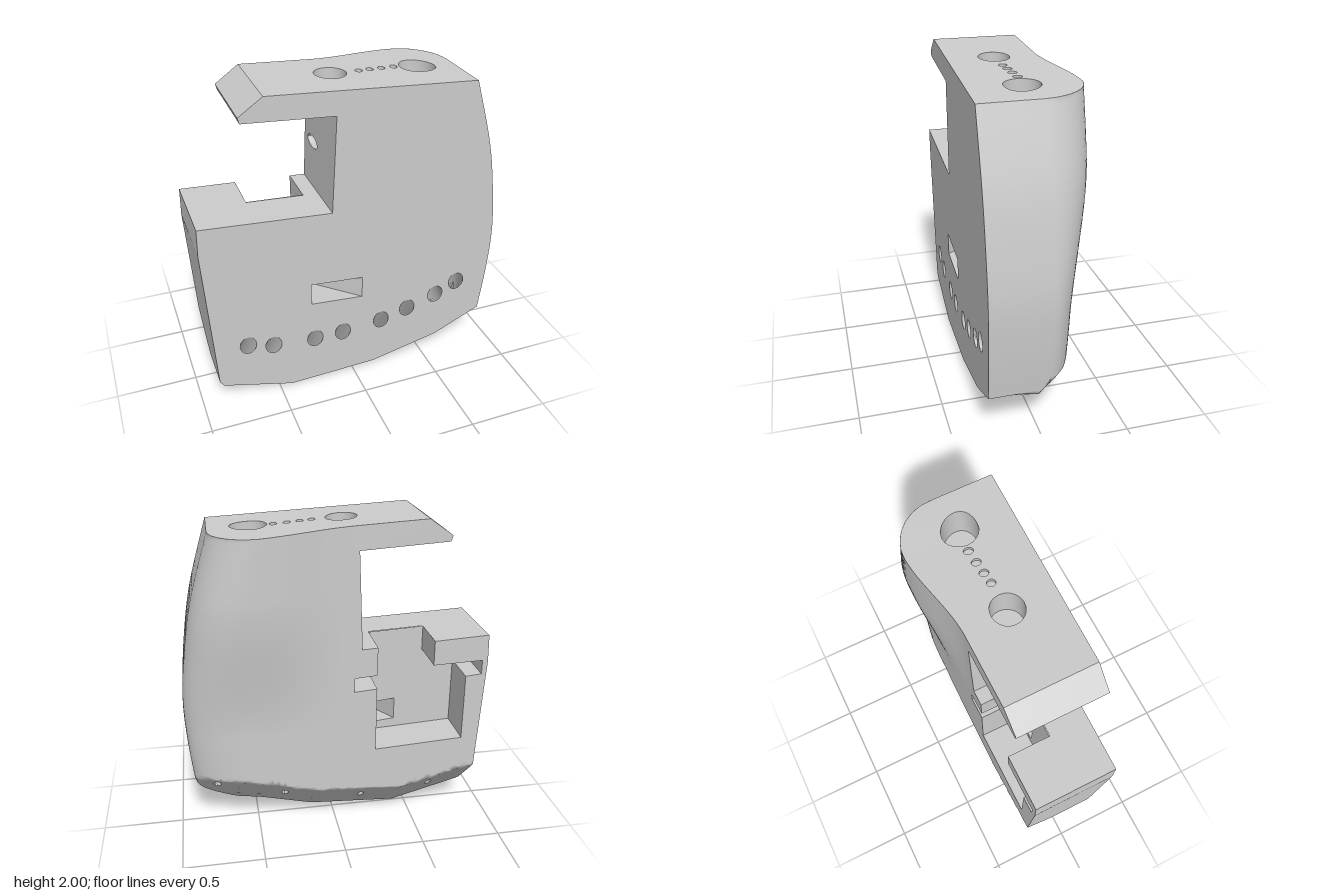
import * as THREE from 'three';
import { mergeGeometries, toCreasedNormals } from 'three/addons/utils/BufferGeometryUtils.js';

const V2 = (x, y) => new THREE.Vector2(x, y);
const STEP = 0.04;   // edge sampling
const D = 0.55;      // nominal thickness, used as wall parameter range
const FLOOR_Z = 0.03; // depth of the rear socket

// ---- outline, counterclockwise from the lower left ----
const bottom = [V2(-0.86, 0.115), V2(-0.42, 0), V2(0.14, 0.035), V2(0.58, 0.145), V2(0.89, 0.295)];
const right = new THREE.SplineCurve([V2(0.89, 0.295), V2(0.92, 0.6), V2(0.93, 0.9), V2(0.9, 1.2),
  V2(0.84, 1.53), V2(0.72, 1.935)]).getPoints(30);
const line = (...p) => p.map(([x, y]) => V2(x, y));
const segments = {
  bottom0: bottom.slice(0, 2), bottom1: bottom.slice(1, 3), bottom2: bottom.slice(2, 4), bottom3: bottom.slice(3, 5),
  right,
  top: line([0.72, 1.935], [-0.52, 2]),
  tipSlope: line([-0.52, 2], [-0.66, 1.9]),
  tipEnd: line([-0.66, 1.9], [-0.65, 1.865]),
  armUnder: line([-0.65, 1.865], [-0.12, 1.835]),
  notchSide: line([-0.12, 1.835], [-0.145, 1.235]),
  ledge: line([-0.145, 1.235], [-0.93, 1.275]),
  left: line([-0.93, 1.275], [-0.935, 1.1], [-0.885, 0.15]),
  leftCorner: line([-0.885, 0.15], [-0.86, 0.115]),
};
// open edge of the rear socket, from the notch round to the top ledge
const socket = line([-0.24, 1.24], [-0.24, 1.06], [-0.1, 1.05], [-0.1, 0.96], [-0.24, 0.97], [-0.24, 0.55],
  [-0.8, 0.58], [-0.8, 1.01], [-0.9, 1.02], [-0.9, 1.11], [-0.59, 1.1], [-0.59, 1.258]);

// ---- helpers ----
function densify(pts) {
  const out = [];
  for (let i = 0; i < pts.length - 1; i++) {
    const n = Math.max(1, Math.ceil(pts[i].distanceTo(pts[i + 1]) / STEP));
    for (let k = 0; k < n; k++) out.push(pts[i].clone().lerp(pts[i + 1], k / n));
  }
  return out; // without the last point
}
function table(pts, key, val, q) {
  if (q <= pts[0][key]) return pts[0][val];
  for (let i = 1; i < pts.length; i++) if (q <= pts[i][key]) {
    const a = pts[i - 1], b = pts[i];
    return a[val] + (b[val] - a[val]) * (q - a[key]) / (b[key] - a[key]);
  }
  return pts[pts.length - 1][val];
}
const { smoothstep, clamp } = THREE.MathUtils;

// front face: almost flat, slightly tilted
const frontPt = (x, y) => new THREE.Vector3(x, y, 0.282 + 0.022 * x + 0.01 * y);
// rear face: swell at the upper left, rounded side, bevel along the bottom
function backPt(u, y) {
  const R = table(right, 'y', 'x', y), w = 0.42 - 0.08 * y;
  const t = clamp((R - u) / w, 0, 1) * Math.PI / 2;
  const x = u > R - w ? R - w * (1 - Math.cos(t)) : u;
  const full = -0.235 - 0.09 * smoothstep(u, -0.1, 0.48) * smoothstep(y, 0.7, 1.6);
  const z = -0.05 + (full + 0.05) * Math.sin(t);
  return new THREE.Vector3(x, y, Math.max(z, 0.005 - 0.95 * (y - table(bottom, 'x', 'y', u))));
}
const ellipse = (cx, cy, rx, ry, n = 20) => Array.from({ length: n }, (_, i) => {
  const a = i / n * Math.PI * 2;
  return V2(cx + rx * Math.cos(a), cy + ry * Math.sin(a));
});

// fills a flat contour with small triangles and bends it by a rule
function surface(contour, holes, map, max = 0.05) {
  const shape = new THREE.Shape(contour);
  shape.holes = holes.map(h => new THREE.Path(h));
  const g = new THREE.ShapeGeometry(shape), p = g.attributes.position, ix = g.index.array;
  const pos = [], nor = [], e = 0.004;
  const put = q => {
    const P = map(q.x, q.y);
    const du = map(q.x + e, q.y).sub(map(q.x - e, q.y)), dv = map(q.x, q.y + e).sub(map(q.x, q.y - e));
    pos.push(P.x, P.y, P.z);
    nor.push(...du.cross(dv).normalize().toArray());
  };
  const stack = [];
  for (let i = 0; i < ix.length; i += 3) stack.push([0, 1, 2].map(k => V2(p.getX(ix[i + k]), p.getY(ix[i + k]))));
  while (stack.length) {
    const t = stack.pop(), l = [0, 1, 2].map(k => t[k].distanceTo(t[(k + 1) % 3]));
    const k = l.indexOf(Math.max(...l));
    if (l[k] <= max) { t.forEach(put); continue; }
    const a = t[k], b = t[(k + 1) % 3], c = t[(k + 2) % 3], m = a.clone().add(b).multiplyScalar(0.5);
    stack.push([a, m, c], [m, b, c]);
  }
  const out = new THREE.BufferGeometry();
  out.setAttribute('position', new THREE.Float32BufferAttribute(pos, 3));
  out.setAttribute('normal', new THREE.Float32BufferAttribute(nor, 3));
  return out;
}
// joins two rows of points; optionally closes the ring and caps its far end
function loft(A, B, closed = true, cap = false) {
  const pos = [], n = A.length, put = (...v) => v.forEach(q => pos.push(q.x, q.y, q.z));
  for (let i = 0; i < (closed ? n : n - 1); i++) {
    const j = (i + 1) % n;
    put(A[i], B[j], A[j], A[i], B[i], B[j]);
  }
  if (cap) for (let i = 1; i < n - 1; i++) put(B[0], B[i + 1], B[i]);
  const g = new THREE.BufferGeometry();
  g.setAttribute('position', new THREE.Float32BufferAttribute(pos, 3));
  return toCreasedNormals(g, 0.7);
}
const pocket = (loop, x, y, z) => loft(loop, loop.map(p => p.clone().add(new THREE.Vector3(x, y, z))), true, true);

// wall rule for one outline segment: a runs along it, -b from front to rear
function wallMap(pts) {
  const acc = [{ s: 0, x: pts[0].x, y: pts[0].y }];
  for (let i = 1; i < pts.length; i++) acc.push({ s: acc[i - 1].s + pts[i].distanceTo(pts[i - 1]), x: pts[i].x, y: pts[i].y });
  const map = (a, b) => {
    const x = table(acc, 's', 'x', a), y = table(acc, 's', 'y', a);
    return frontPt(x, y).lerp(backPt(x, y), -b / D);
  };
  return { map, acc, length: acc[acc.length - 1].s };
}

export function createModel() {
  const group = new THREE.Group();
  const mat = new THREE.MeshStandardMaterial({ color: 0xcccccc, side: THREE.DoubleSide });
  mat.name = 'light grey';
  const add = (name, ...geos) => {
    const m = new THREE.Mesh(geos.length > 1 ? mergeGeometries(geos) : geos[0], mat);
    m.name = name;
    group.add(m);
  };

  // front face with strap holes and window
  const strapHoles = [[-0.69, 0.395], [-0.53, 0.355], [-0.26, 0.335], [-0.075, 0.34],
    [0.185, 0.37], [0.365, 0.42], [0.56, 0.485], [0.705, 0.555]].map(([x, y]) => ellipse(x, y, 0.052, 0.062));
  const windowFront = line([-0.28, 0.61], [0.05, 0.59], [0.05, 0.735], [-0.28, 0.755]);
  const outline = Object.values(segments).flatMap(densify);
  add('frontFace', surface(outline, [...strapHoles, windowFront], frontPt, 0.12));

  // rear face, cut open by the socket, with small holes in the bevel
  const bevelHoles = [[-0.63, 0.2], [-0.17, 0.16], [0.33, 0.23], [0.68, 0.34]].map(([x, y]) => ellipse(x, y, 0.02, 0.035, 12));
  const backOutline = Object.entries(segments).flatMap(([k, s]) =>
    densify(k === 'ledge' ? [s[0], ...socket, s[1]] : s));
  const flip = l => l.map(p => V2(-p.x, p.y));
  add('rearFace', surface(flip(backOutline), bevelHoles.map(flip), (a, b) => backPt(-a, b), 0.045));
  add('bevelHoles', ...bevelHoles.map(h => pocket(h.map(p => backPt(p.x, p.y)), 0, 0.08, 0.1)));

  // socket walls and floor, and the window tunnel leading into it
  const atFloor = p => new THREE.Vector3(p.x, p.y, FLOOR_Z);
  const windowBack = line([-0.42, 0.62], [-0.24, 0.6], [-0.24, 0.745], [-0.42, 0.765]);
  add('socketWalls', loft(socket.map(p => backPt(p.x, p.y)), socket.map(atFloor), false));
  add('socketFloor', surface(flip(socket), [flip(windowBack)], (a, b) => new THREE.Vector3(-a, b, FLOOR_Z), 1));
  add('windowTunnel', loft(windowFront.map(p => frontPt(p.x, p.y)), windowBack.map(atFloor)));

  // holes in the walls: [distance along wall, depth, radii]
  const wallHoles = {
    bottom0: [[0.145, 0.36], [0.3, 0.36]], bottom1: [[0.15, 0.36], [0.36, 0.36]],
    bottom2: [[0.1, 0.36], [0.29, 0.36]], bottom3: [[0.12, 0.36], [0.26, 0.36]],
    top: [[0.25, 0.265, 0.095, 0.09], [0.78, 0.285, 0.095, 0.095],
      ...[0.38, 0.46, 0.535, 0.605].map(s => [s, 0.28, 0.022, 0.024])],
    notchSide: [[0.315, 0.4, 0.035, 0.09]],
  };
  const tubes = [];
  for (const [name, pts] of Object.entries(segments)) {
    const { map, acc, length } = wallMap(pts);
    const along = densify(pts.length > 2 ? acc.map(q => V2(q.s, 0)) : [V2(0, 0), V2(length, 0)]);
    along.push(V2(length, 0));
    let rear = along.map(p => V2(p.x, -D));
    if (name === 'ledge') { // the socket opens through the ledge
      rear = [[0, D], [0.095, D], [0.095, 0.264], [0.445, 0.264], [0.445, D], [length, D]].map(([s, b]) => V2(s, -b));
    }
    const loops = (wallHoles[name] || []).map(([s, b, rs = 0.045, rb = 0.1]) => ellipse(s, b, rs, rb).map(p => V2(p.x, -p.y)));
    add(name + 'Wall', surface([...along, ...rear.reverse()], loops, map, 0.06));
    loops.forEach((loop, i) => {
      const L = loop.map(p => map(p.x, p.y));
      if (name.startsWith('bottom')) { // strap tunnel up to the front hole
        const front = strapHoles[2 * Number(name.slice(6)) + i];
        tubes.push(loft(front.map(p => frontPt(p.x, p.y)), L));
      } else if (name === 'top') add(i < 2 ? 'topBore' : 'topDimple', pocket(L, 0, i < 2 ? -0.2 : -0.02, 0));
      else add('notchSideHole', pocket(L, 0.15, 0, 0));
    });
  }
  add('strapTunnels', ...tubes);
  return group;
}
